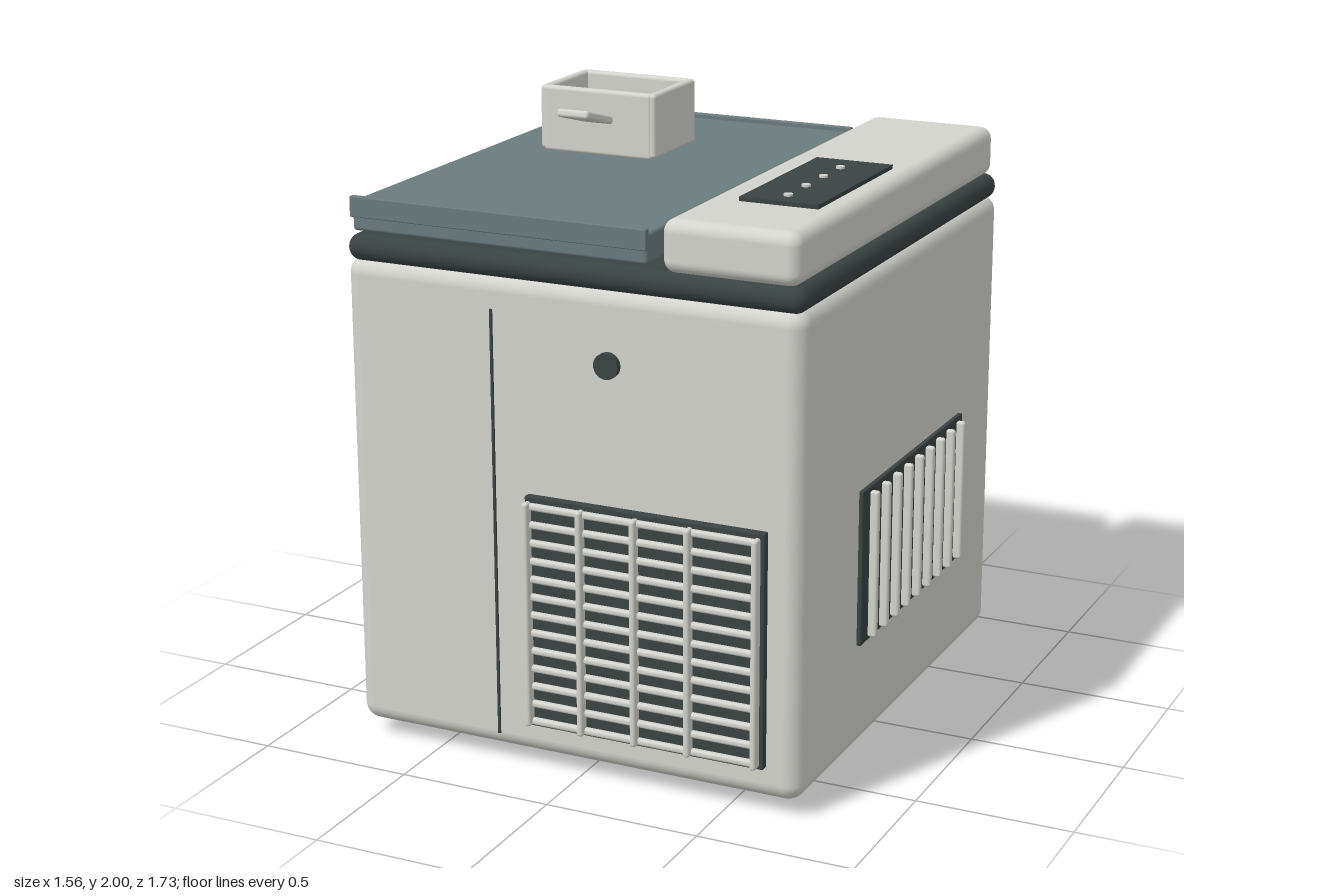
import * as THREE from 'three';
import { RoundedBoxGeometry } from 'three/addons/geometries/RoundedBoxGeometry.js';

const mat = (name, color) => {
  const m = new THREE.MeshStandardMaterial({ color });
  m.name = name;
  return m;
};

export function createModel() {
  const shell = mat('warm light grey', 0xd4d4ce);
  const dark = mat('charcoal', 0x3a4343);
  const slate = mat('slate lid', 0x6b7b7e);
  const model = new THREE.Group();

  const add = (name, geometry, material, x, y, z, parent = model) => {
    const mesh = new THREE.Mesh(geometry, material);
    mesh.name = name;
    mesh.position.set(x, y, z);
    parent.add(mesh);
    return mesh;
  };
  // Box given by its extents on each axis, rounded when a radius is given
  const box = (name, material, [x0, x1], [y0, y1], [z0, z1], r = 0, parent = model) => {
    const s = [x1 - x0, y1 - y0, z1 - z0];
    const g = r ? new RoundedBoxGeometry(...s, 4, r) : new THREE.BoxGeometry(...s);
    return add(name, g, material, (x0 + x1) / 2, (y0 + y1) / 2, (z0 + z1) / 2, parent);
  };
  const group = (name) => {
    const g = new THREE.Group();
    g.name = name;
    model.add(g);
    return g;
  };

  // Cabinet, gasket band and feet
  box('cabinet', shell, [-0.783, 0.737], [0.05, 1.575], [-0.865, 0.79], 0.055);
  box('gasket', dark, [-0.78, 0.733], [1.56, 1.645], [-0.865, 0.79], 0.042);
  const footGeometry = new THREE.CylinderGeometry(0.063, 0.063, 0.06, 24);
  for (const x of [-0.56, 0.512])
    for (const z of [-0.64, 0.57]) add('foot', footGeometry, dark, x, 0.03, z);

  // Sliding lid with a raised rail at each end
  const lid = group('lid');
  box('lidSlab', slate, [-0.778, 0.218], [1.645, 1.74], [-0.83, 0.74], 0.012, lid);
  box('lidRailFront', slate, [-0.78, 0.22], [1.69, 1.755], [0.73, 0.752], 0.004, lid);
  box('lidRailBack', slate, [-0.78, 0.22], [1.69, 1.755], [-0.842, -0.82], 0.004, lid);

  // Control housing, panel and indicator lights
  box('controlHousing', shell, [0.28, 0.715], [1.638, 1.8], [-0.86, 0.785], 0.04);
  box('controlPanel', dark, [0.4, 0.652], [1.804, 1.817], [-0.095, 0.497]);
  const lightGeometry = new THREE.CylinderGeometry(0.014, 0.014, 0.008, 16);
  for (let i = 0; i < 4; i++)
    add('indicatorLight', lightGeometry, shell, 0.526, 1.82, 0.021 + i * 0.1345);

  // Open scoop with a tilted handle
  const scoop = group('scoop');
  box('scoopFloor', shell, [-0.465, -0.105], [1.79, 1.812], [-0.22, 0.05], 0, scoop);
  for (const x of [-0.487, -0.112])
    box('scoopSide', shell, [x, x + 0.03], [1.795, 2], [-0.235, 0.065], 0.012, scoop);
  for (const z of [-0.24, 0.038])
    box('scoopEnd', shell, [-0.475, -0.095], [1.79, 2], [z, z + 0.03], 0.012, scoop);
  const handle = add('scoopHandle', new RoundedBoxGeometry(0.11, 0.026, 0.19, 3, 0.01),
    shell, -0.284, 1.93, 0.145, scoop);
  handle.rotation.x = -0.27;

  // Door seam and round knob on the front
  box('doorSeam', dark, [-0.278, -0.27], [0.1, 1.47], [0.787, 0.796]);
  const knob = add('knob', new THREE.CylinderGeometry(0.04, 0.04, 0.03, 32), dark, 0.115, 1.345, 0.795);
  knob.rotation.x = Math.PI / 2;

  // Front grille: backing plate, louvres and uprights
  const grille = group('frontGrille');
  box('grilleBack', dark, [-0.155, 0.635], [0.163, 0.91], [0.797, 0.824], 0.005, grille);
  for (let i = 0; i < 13; i++) {
    const y = 0.187 + i * 0.0581;
    box('louvre', shell, [-0.135, 0.625], [y - 0.011, y + 0.011], [0.826, 0.849], 0.009, grille);
  }
  for (const x of [-0.136, 0.043, 0.222, 0.4, 0.617])
    box('upright', shell, [x - 0.01, x + 0.01], [0.175, 0.9], [0.829, 0.866], 0.009, grille);

  // Side vent: backing plate and vertical slats
  const vent = group('sideVent');
  box('ventBack', dark, [0.735, 0.751], [0.403, 0.905], [-0.527, 0.347], 0.004, vent);
  for (let i = 0; i < 9; i++) {
    const z = -0.477 + i * 0.0951;
    box('slat', shell, [0.75, 0.78], [0.415, 0.893], [z - 0.011, z + 0.011], 0.009, vent);
  }
  return model;
}
